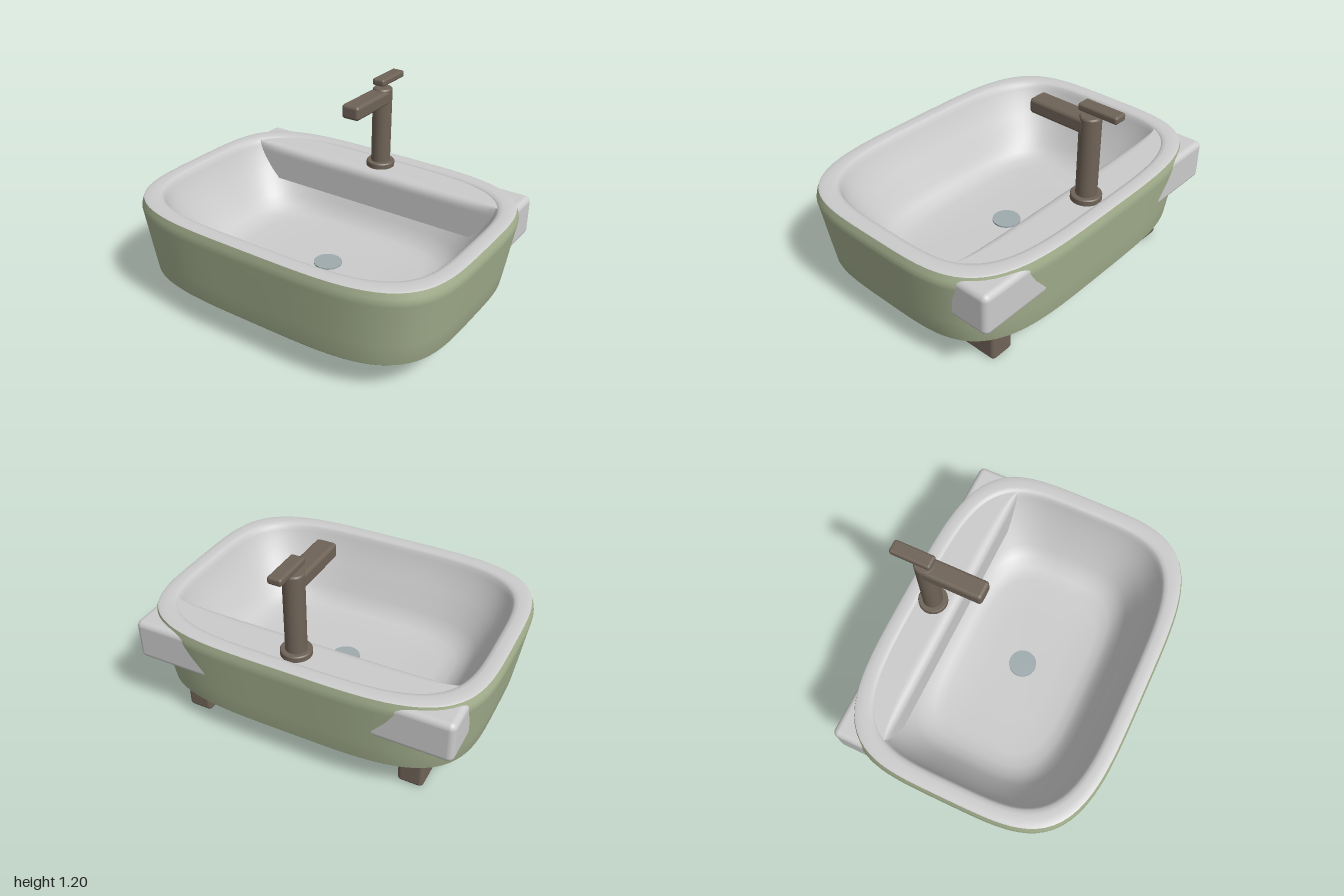
import * as THREE from 'three';
import { RoundedBoxGeometry } from 'three/addons/geometries/RoundedBoxGeometry.js';

const white = new THREE.MeshStandardMaterial({ color: 0xcccccc });
const green = new THREE.MeshStandardMaterial({ color: 0xa5b18f });
const bronze = new THREE.MeshStandardMaterial({ color: 0x6f6357 });
const steel = new THREE.MeshStandardMaterial({ color: 0x9fabae });

// Squarish oval rings [halfWidth, halfDepth, y] joined into a smooth skin
function loft(rings, segments = 128) {
  const positions = [], index = [];
  for (const [a, b, y] of rings) {
    for (let j = 0; j < segments; j++) {
      const t = (j / segments) * Math.PI * 2;
      const c = Math.cos(t), s = Math.sin(t);
      const r = 1 / Math.pow(c ** 4 + s ** 4, 0.25);
      positions.push(a * r * c, y, b * r * s);
    }
  }
  for (let i = 0; i < rings.length - 1; i++) {
    for (let j = 0; j < segments; j++) {
      const k = (j + 1) % segments;
      const p = i * segments + j, q = i * segments + k;
      index.push(p, p + segments, q, q, p + segments, q + segments);
    }
  }
  const g = new THREE.BufferGeometry();
  g.setAttribute('position', new THREE.Float32BufferAttribute(positions, 3));
  g.setIndex(index);
  g.computeVertexNormals();
  return g;
}

// Shelf across the back of the bowl: its profile is stretched to the curved wall
function ledgeGeometry() {
  const front = -0.425, top = 0.64, bottom = 0.41, halfWidth = 0.855;
  const s = new THREE.Shape();
  s.moveTo(0, bottom);
  s.lineTo(1, bottom);
  s.lineTo(1, top);
  s.lineTo(0.3, top);
  s.quadraticCurveTo(0, top, 0, top - 0.06);
  s.closePath();
  const g = new THREE.ExtrudeGeometry(s, { depth: 2 * halfWidth, steps: 64, bevelEnabled: false, curveSegments: 10 });
  const p = g.attributes.position;
  for (let i = 0; i < p.count; i++) {
    const x = p.getZ(i) - halfWidth;
    const back = -0.65 * Math.pow(1 - (x / 0.9) ** 4, 0.25);
    p.setXYZ(i, x, p.getY(i), front + p.getX(i) * (Math.min(back, front) - front));
  }
  // the remapping (x, z) -> (z, -x) is a rotation, so the winding is kept
  g.computeVertexNormals();
  return g;
}

export function createModel() {
  const model = new THREE.Group();

  const add = (name, geometry, material, x = 0, y = 0, z = 0, parent = model) => {
    const mesh = new THREE.Mesh(geometry, material);
    mesh.name = name;
    mesh.position.set(x, y, z);
    parent.add(mesh);
    return mesh;
  };
  // Rounded block given by its limits on each axis
  const block = (name, material, [x0, x1], [y0, y1], [z0, z1], radius, parent) =>
    add(name, new RoundedBoxGeometry(x1 - x0, y1 - y0, z1 - z0, 4, radius), material,
      (x0 + x1) / 2, (y0 + y1) / 2, (z0 + z1) / 2, parent);

  // Outer shell, from the centre of the underside up to the rim
  add('outerShell', loft([
    [0, 0, 0.125], [0.5, 0.38, 0.125], [0.78, 0.59, 0.125], [0.82, 0.62, 0.132], [0.92, 0.69, 0.18],
    [0.94, 0.702, 0.195], [0.96, 0.716, 0.32], [0.98, 0.731, 0.46],
    [0.997, 0.743, 0.57], [1, 0.745, 0.592], [0.995, 0.742, 0.615], [0.985, 0.735, 0.645],
  ]), green);

  // Rim and bowl, from the outer edge in and down to the floor
  add('bowl', loft([
    [0.985, 0.735, 0.643], [0.975, 0.725, 0.649], [0.95, 0.7, 0.652], [0.92, 0.672, 0.652],
    [0.9, 0.654, 0.648], [0.887, 0.642, 0.635], [0.88, 0.634, 0.61], [0.855, 0.605, 0.54],
    [0.815, 0.562, 0.46], [0.78, 0.525, 0.4], [0.73, 0.485, 0.32], [0.68, 0.445, 0.265],
    [0.62, 0.4, 0.235], [0.54, 0.34, 0.22], [0.3, 0.2, 0.214], [0, 0, 0.212],
  ]), white);
  add('ledge', ledgeGeometry(), white);
  add('drain', new THREE.CylinderGeometry(0.083, 0.083, 0.02, 40), steel, 0, 0.212, 0);

  // Wall brackets and support rails on both sides
  for (const [side, sign] of [['left', 1], ['right', -1]]) {
    const span = (a, b) => (sign > 0 ? [a, b] : [-b, -a]);
    block(side + 'Bracket', white, span(0.47, 0.93), [0.387, 0.63], [-0.715, -0.46], 0.035);
    block(side + 'Rail', bronze, span(0.593, 0.74), [0, 0.17], [-0.58, 0.18], 0.025);
  }

  // Faucet
  const faucet = new THREE.Group();
  faucet.name = 'faucet';
  model.add(faucet);
  const z = -0.565;
  const collar = [[0, 0.62], [0.085, 0.62], [0.085, 0.668], [0.08, 0.674], [0, 0.674]];
  const column = [[0.058, 0.66], [0.058, 1.128], [0.052, 1.137], [0, 1.137]];
  for (const [name, profile] of [['collar', collar], ['column', column]]) {
    // doubled points keep the edges crisp
    const points = profile.flatMap(([r, y]) => [new THREE.Vector2(r, y), new THREE.Vector2(r, y)]);
    const g = new THREE.LatheGeometry(points, 40).toNonIndexed();
    add(name, g, bronze, 0, 0, z, faucet);
    g.computeVertexNormals();
    smoothRound(g);
  }
  block('spout', bronze, [-0.057, 0.057], [1.042, 1.127], [-0.565, -0.21], 0.02, faucet);
  block('lever', bronze, [-0.04, 0.04], [1.158, 1.2], [-0.745, -0.507], 0.014, faucet);

  return model;
}

// Turns the facet normals of a lathe to point along the radius, so it is round but keeps its edges
function smoothRound(g) {
  const p = g.attributes.position, n = g.attributes.normal;
  for (let i = 0; i < p.count; i++) {
    const radial = Math.hypot(n.getX(i), n.getZ(i));
    const r = Math.hypot(p.getX(i), p.getZ(i));
    if (r > 1e-4 && radial > 1e-4) n.setXYZ(i, (p.getX(i) / r) * radial, n.getY(i), (p.getZ(i) / r) * radial);
  }
}
